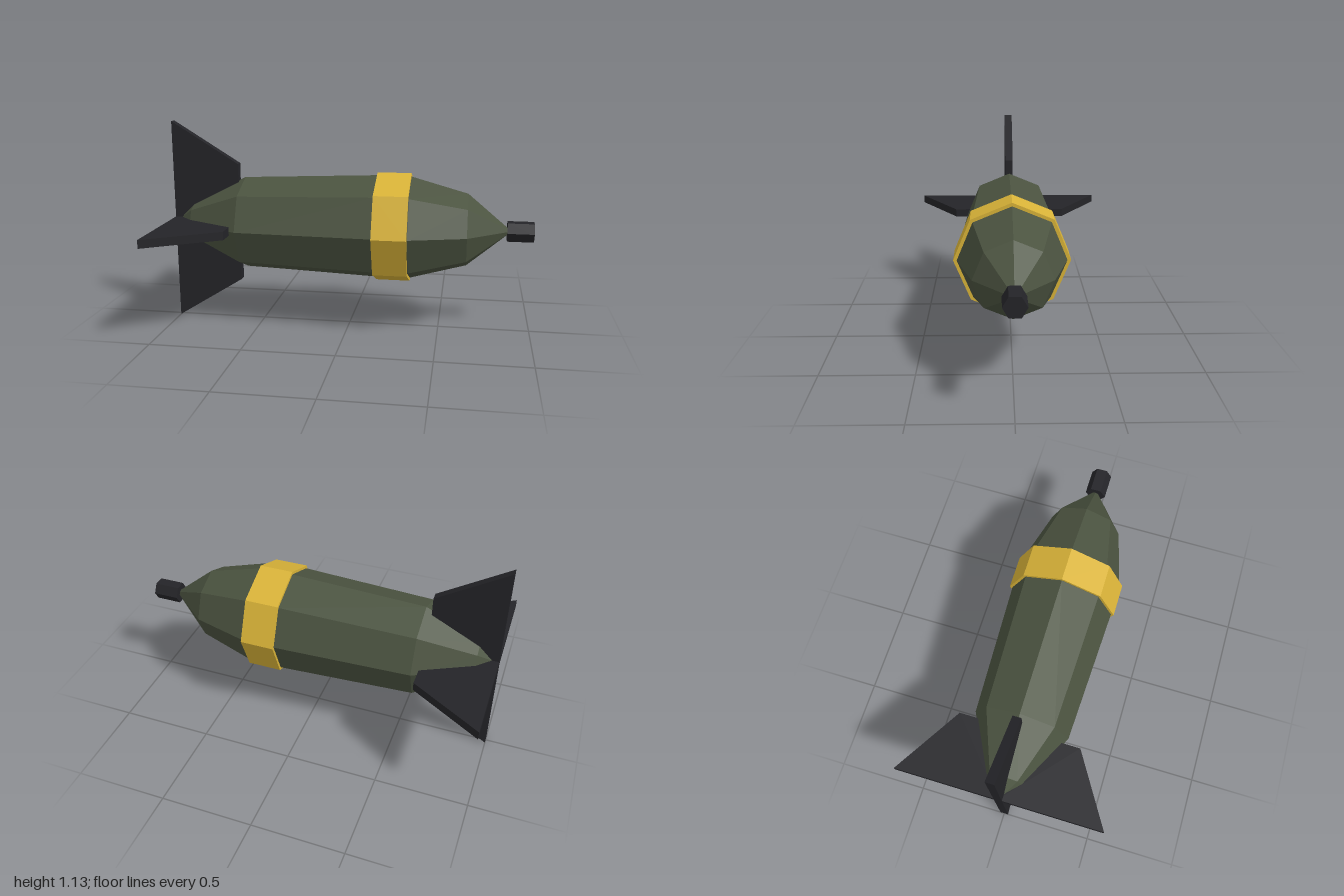
import * as THREE from 'three';

const AXIS_Y = 0.565;

const paint = (color) => new THREE.MeshStandardMaterial({ color, flatShading: true });

export function createModel() {
  const model = new THREE.Group();
  model.name = 'bomb';
  const olive = paint(0x4b5340);
  const yellow = paint(0xd9b338);
  const dark = paint(0x242428);

  const add = (name, geometry, material, x = 0) => {
    const mesh = new THREE.Mesh(geometry, material);
    mesh.name = name;
    mesh.position.set(x, AXIS_Y, 0);
    model.add(mesh);
    return mesh;
  };

  // Eight-sided casing: [radius, x] from tail tip to nose
  const profile = [
    [0, -0.995], [0.105, -0.89], [0.258, -0.59], [0.288, 0.15],
    [0.285, 0.34], [0.2, 0.645], [0.015, 0.865], [0, 0.865],
  ].map(([r, x]) => new THREE.Vector2(r, x));
  add('casing', new THREE.LatheGeometry(profile, 8).rotateZ(-Math.PI / 2), olive);

  // Raised band around the casing
  add('band', new THREE.CylinderGeometry(0.304, 0.304, 0.185, 8).rotateZ(-Math.PI / 2), yellow, 0.245);

  // Six-sided fuse on the nose
  add('fuse', new THREE.CylinderGeometry(0.058, 0.058, 0.142, 6).rotateZ(-Math.PI / 2), dark, 0.929);

  // Four swept tail fins
  const outline = new THREE.Shape([
    new THREE.Vector2(-1, 0), new THREE.Vector2(-0.625, 0),
    new THREE.Vector2(-0.625, 0.333), new THREE.Vector2(-1, 0.565),
  ]);
  const thickness = 0.046;
  const finGeometry = new THREE.ExtrudeGeometry(outline, { depth: thickness, bevelEnabled: false });
  finGeometry.translate(0, 0, -thickness / 2);
  ['topFin', 'leftFin', 'bottomFin', 'rightFin'].forEach((_, i) => {
    const names = ['topFin', 'frontFin', 'bottomFin', 'backFin'];
    add(names[i], finGeometry, dark).rotation.x = i * Math.PI / 2;
  });

  return model;
}
